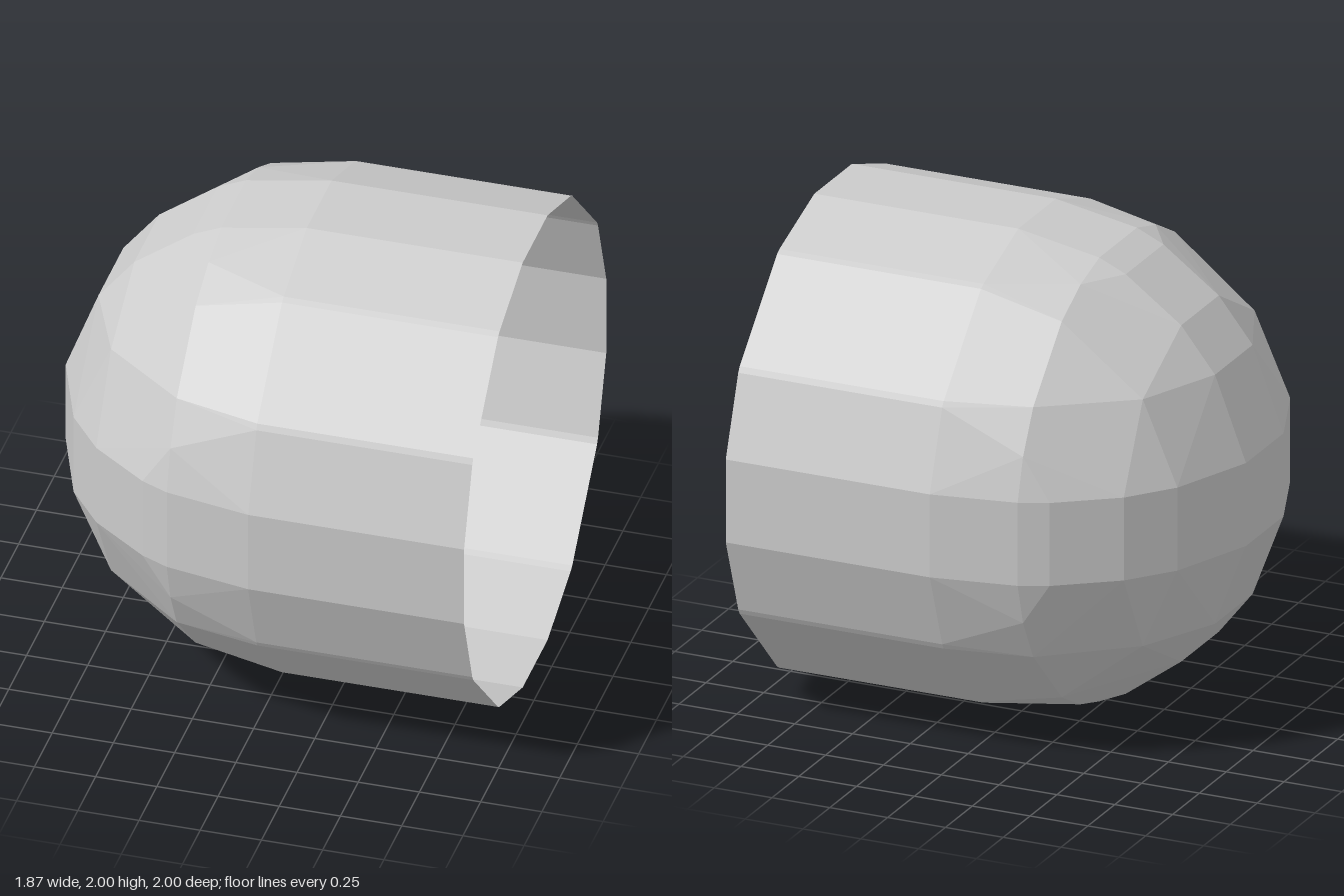
import * as THREE from 'three';
import { ConvexGeometry } from 'three/addons/geometries/ConvexGeometry.js';

const RADIUS = 1.015;      // sphere through every corner of the dome
const SEAM_X = 0.05;       // where the dome meets the tube
const RIM_X = 0.932;       // open end of the tube

// One octant of the faceted dome: [depth behind the seam, a, b],
// used with a and b swapped and with both signs.
const DOME = [
  [0.985, 0.175, 0.175], [0.85, 0.525, 0.175], [0.705, 0.71, 0.175],
  [0.705, 0.525, 0.525], [0.465, 0.885, 0.175], [0.35, 0.935, 0.175],
  [0.35, 0.79, 0.525], [0.35, 0.885, 0.35],
];
// Tube cross-section corners, mirrored the same way
const RING = [[0, 1, 0.175], [0, 0.885, 0.5], [0, 0.875, 0.525]];

// All mirrored copies of a corner, pushed onto the sphere
function mirrored([d, a, b]) {
  const out = [];
  for (const [y, z] of a === b ? [[a, b]] : [[a, b], [b, a]])
    for (const sy of [-1, 1])
      for (const sz of [-1, 1])
        out.push(new THREE.Vector3(-d, sy * y, sz * z).setLength(RADIUS));
  return out;
}

// Drop the flat face that closes the rim
function openRim(geometry) {
  const p = geometry.attributes.position;
  const kept = [];
  for (let i = 0; i < p.count; i += 3) {
    const onRim = [0, 1, 2].every((k) => p.getX(i + k) > RIM_X - 1e-4);
    if (onRim) continue;
    for (let k = 0; k < 3; k++) kept.push(p.getX(i + k), p.getY(i + k), p.getZ(i + k));
  }
  const open = new THREE.BufferGeometry();
  open.setAttribute('position', new THREE.Float32BufferAttribute(kept, 3));
  open.computeVertexNormals();
  return open;
}

export function createModel() {
  const group = new THREE.Group();
  group.name = 'domedTube';

  const ring = RING.flatMap(mirrored);
  const points = [...DOME.flatMap(mirrored), ...ring].map((v) => v.setX(v.x + SEAM_X));
  for (const v of ring) points.push(new THREE.Vector3(RIM_X, v.y, v.z));

  // Thin shell: rounded closed end at -x, straight open tube towards +x
  const shell = new THREE.Mesh(
    openRim(new ConvexGeometry(points)),
    new THREE.MeshStandardMaterial({ color: 0xcccccc, flatShading: true, side: THREE.DoubleSide })
  );
  shell.name = 'shell';
  shell.position.y = 1;
  group.add(shell);
  return group;
}
